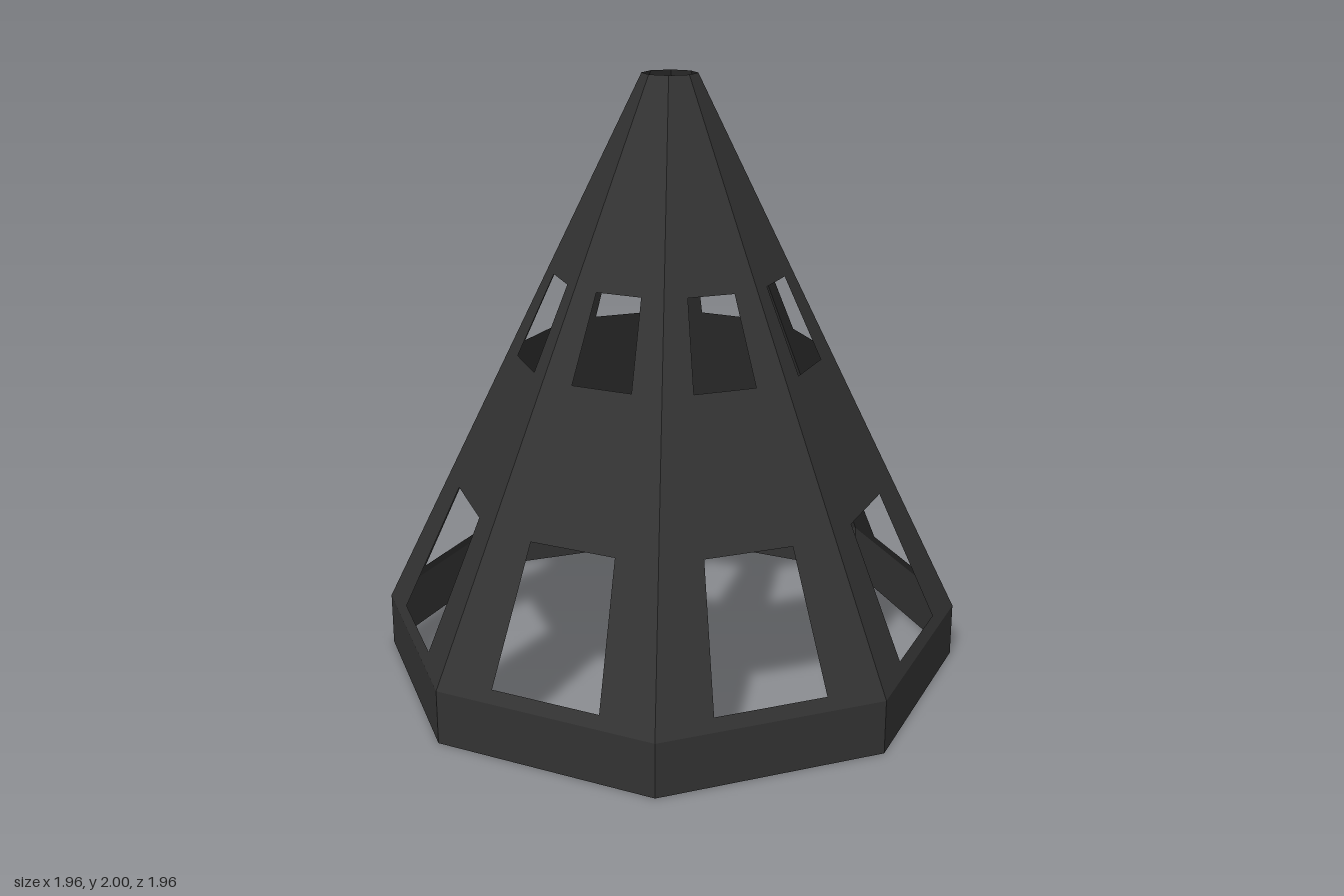
import * as THREE from 'three';

const SIDES = 8;
const BASE_R = 0.98, TOP_R = 0.09, BAND_Y = 0.18, TOP_Y = 2;

// circumradius of the octagon at height y
const radiusAt = (y) =>
  y <= BAND_Y ? BASE_R : THREE.MathUtils.lerp(BASE_R, TOP_R, (y - BAND_Y) / (TOP_Y - BAND_Y));

// point on side i, at fraction t between its two ribs
function pointOn(i, t, y) {
  const corner = (k) => {
    const a = (k * 2 * Math.PI) / SIDES;
    return new THREE.Vector3(Math.sin(a), 0, Math.cos(a)).multiplyScalar(radiusAt(y)).setY(y);
  };
  return corner(i).lerp(corner(i + 1), t);
}

// one flat side made of rows and columns of quads; rows in `open` lose their middle quad
function sideGeometry(i, rows, cols, open = []) {
  const pos = [];
  for (let r = 0; r < rows.length - 1; r++) {
    for (let c = 0; c < cols.length - 1; c++) {
      if (open.includes(r) && c === 1) continue;
      const p = pointOn(i, cols[c], rows[r]), q = pointOn(i, cols[c + 1], rows[r]);
      const s = pointOn(i, cols[c + 1], rows[r + 1]), t = pointOn(i, cols[c], rows[r + 1]);
      for (const v of [p, q, s, p, s, t]) pos.push(v.x, v.y, v.z);
    }
  }
  const g = new THREE.BufferGeometry();
  g.setAttribute('position', new THREE.Float32BufferAttribute(pos, 3));
  g.computeVertexNormals();
  return g;
}

export function createModel() {
  const model = new THREE.Group();
  model.name = 'octagonalTower';
  const dark = new THREE.MeshStandardMaterial({ color: 0x333333, side: THREE.DoubleSide });

  const band = new THREE.Group();
  band.name = 'baseBand';
  const cone = new THREE.Group();
  cone.name = 'taperedShell';
  model.add(band, cone);

  for (let i = 0; i < SIDES; i++) {
    // upright band around the foot
    const foot = new THREE.Mesh(sideGeometry(i, [0, BAND_Y], [0, 1]), dark);
    foot.name = 'bandSide';
    band.add(foot);

    // sloping panel with a large lower and a small upper window
    const panel = new THREE.Mesh(
      sideGeometry(i, [BAND_Y, 0.22, 0.64, 1.09, 1.36, TOP_Y], [0, 0.25, 0.75, 1], [1, 3]), dark);
    panel.name = 'windowPanel';
    cone.add(panel);
  }
  return model;
}
